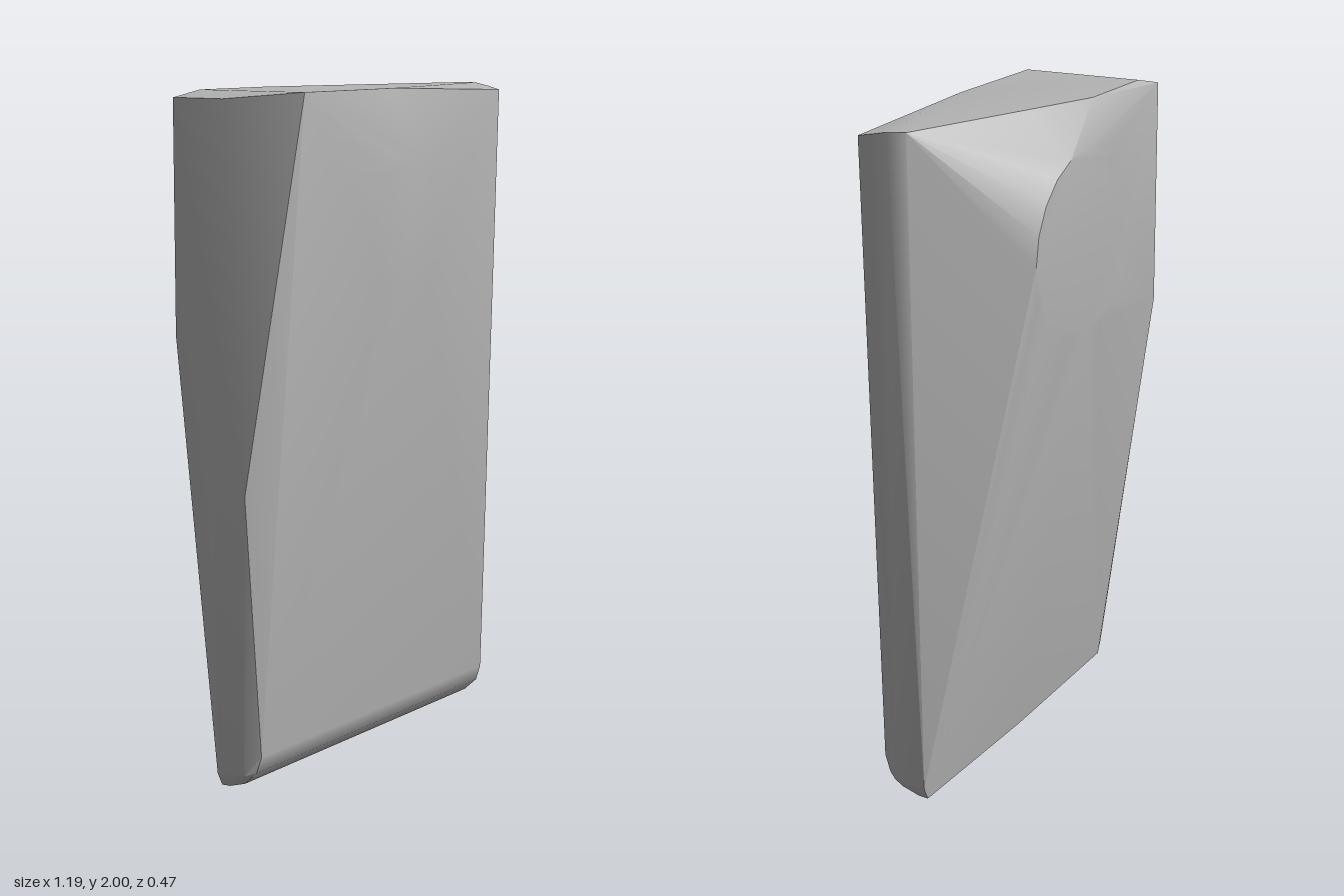
import * as THREE from 'three';
import { ConvexGeometry } from 'three/addons/geometries/ConvexGeometry.js';
import { toCreasedNormals } from 'three/addons/utils/BufferGeometryUtils.js';

export function createModel() {
  const group = new THREE.Group();
  const grey = new THREE.MeshStandardMaterial({ color: 0xb4b4b4 });
  grey.name = 'stone grey';
  const points = [];
  const add = (x, y, z) => points.push(new THREE.Vector3(x, y, z));

  // flat round pads on the front and back
  const pad = (cx, cy, rx, ry, z, n) => {
    for (let i = 0; i < n; i++) {
      const a = (i / n) * Math.PI * 2;
      add(cx + rx * Math.cos(a), cy + ry * Math.sin(a), z);
    }
  };
  pad(0.02, 1.6, 0.18, 0.2, 0.235, 14);
  pad(0.035, 1.605, 0.305, 0.275, -0.235, 20);

  // slanted top
  [[-0.42, 2, -0.185], [-0.11, 2, -0.185], [0.12, 2, -0.11], [0.57, 2, 0.04],
    [0.59, 2, 0.09], [0.59, 1.99, 0.14], [0.578, 1.98, 0.187], [0, 2, 0.19],
    [-0.42, 2, 0.19], [-0.51, 1.98, -0.03], [-0.51, 1.98, -0.21]].forEach(p => add(...p));

  // sharp rear corner and outer edge of the right side
  add(-0.51, 1.3, -0.21);
  add(-0.597, 0.88, 0);
  add(-0.597, 0.88, 0.11);

  // rounded foot, ending in a thin rear edge
  for (const s of [-1, 1]) {
    [[0.575, 0.01, 0], [0.595, 0.05, 0], [0.595, 0.06, 0.1], [0.575, 0.012, 0.03],
      [0.575, 0.03, 0.085], [0.575, 0.07, 0.128], [0.573, 0.12, 0.145]]
      .forEach(([x, y, z]) => add(s * x, y, z));
  }
  add(0, 0, 0);
  add(0, 0.006, 0.03);

  const slab = new THREE.Mesh(toCreasedNormals(new ConvexGeometry(points), 0.5), grey);
  slab.name = 'slab';
  group.add(slab);
  return group;
}
